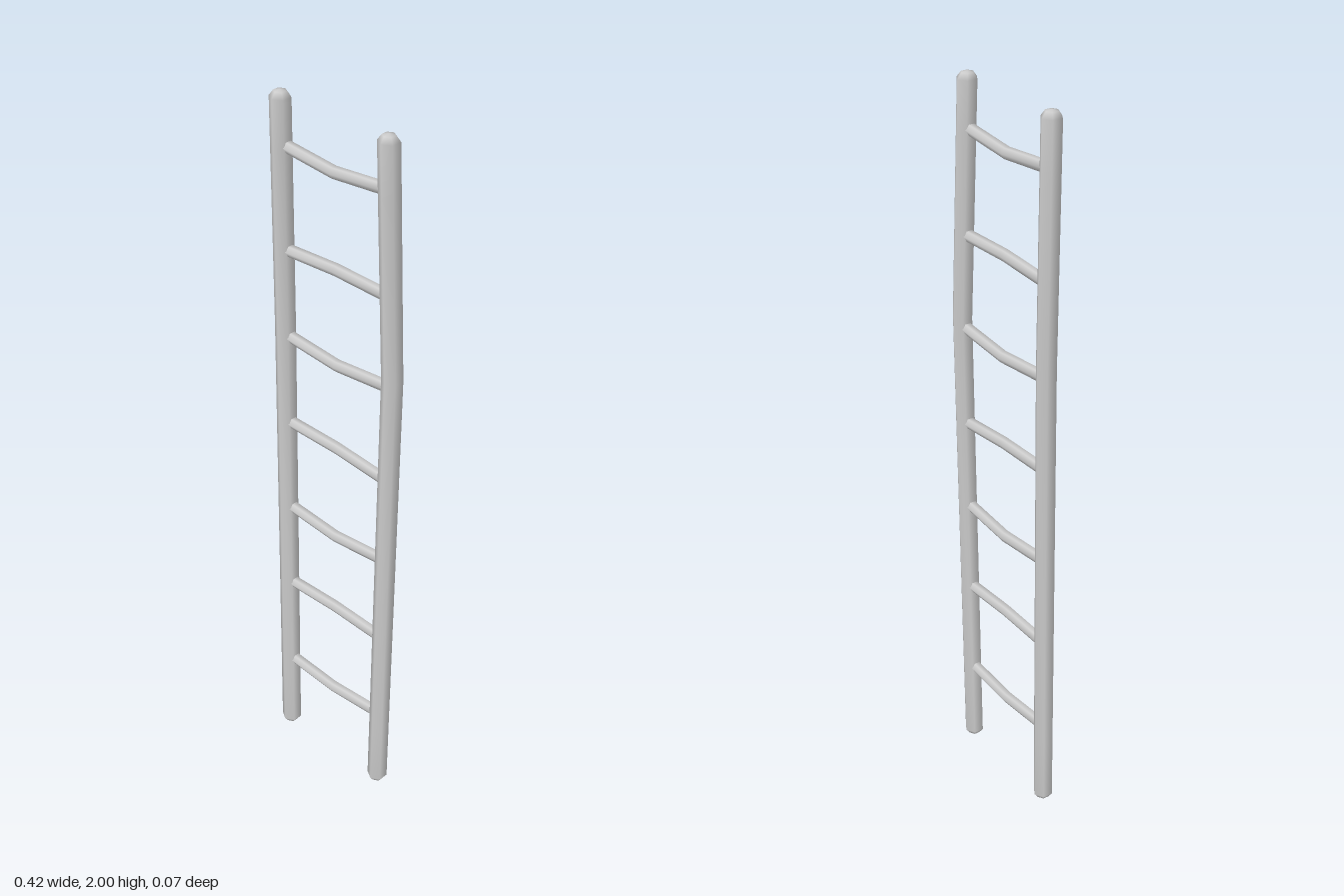
import * as THREE from 'three';
import { mergeVertices } from 'three/addons/utils/BufferGeometryUtils.js';

const material = new THREE.MeshStandardMaterial({ color: 0xcccccc });

// Six-sided pole along y from [radius, y] pairs, each vertex shifted by bend(y) -> [dx, dz]
function pole(profile, bend) {
  const geo = new THREE.LatheGeometry(profile.map(([r, y]) => new THREE.Vector2(r, y)), 6);
  const p = geo.attributes.position;
  for (let i = 0; i < p.count; i++) {
    const [dx, dz] = bend(p.getY(i));
    p.setX(i, p.getX(i) + dx);
    p.setZ(i, p.getZ(i) + dz);
  }
  geo.deleteAttribute('uv');
  geo.deleteAttribute('normal');
  const merged = mergeVertices(geo, 1e-4);
  merged.computeVertexNormals();
  return merged;
}

// Bow of the rails: 0 at both ends, 1 at the kink
const KINK = 1.35;
const bow = (y) => (y < KINK ? y / KINK : (2 - y) / (2 - KINK));
const railX = (y) => 0.175 + 0.012 * bow(y);
const railZ = (y) => 0.007 - 0.015 * bow(y);

export function createModel() {
  const ladder = new THREE.Group();
  ladder.name = 'ladder';

  // Side rails with rounded ends
  const R = 0.028;
  const railProfile = [
    [0, 0], [0.017, 0.003], [R, 0.018], [R, 0.2], [R, KINK],
    [R, 1.85], [R, 1.982], [0.017, 1.997], [0, 2],
  ];
  for (const side of [-1, 1]) {
    const rail = new THREE.Mesh(pole(railProfile, (y) => [side * railX(y), railZ(y)]), material);
    rail.name = side > 0 ? 'leftRail' : 'rightRail';
    ladder.add(rail);
  }

  // Rungs, slightly crooked: heights at x-, middle, x+
  const rungs = [
    [0.25, 0.238, 0.25], [0.53, 0.534, 0.526], [0.79, 0.775, 0.79], [1.064, 1.061, 1.046],
    [1.325, 1.31, 1.325], [1.576, 1.585, 1.581], [1.86, 1.845, 1.86],
  ];
  const r = 0.016;
  rungs.forEach(([a, mid, b], i) => {
    const half = railX(mid) - 0.012;
    const profile = [[0, -half], [r, -half], [r, 0], [r, half], [0, half]];
    // After the turn onto x, local -x becomes up and local y becomes +x
    const bend = (t) => [-((t < 0 ? a : b) - mid) * Math.abs(t) / half, 0];
    const geo = pole(profile, bend).rotateZ(-Math.PI / 2);
    // local +x points down after the turn
    const rung = new THREE.Mesh(geo, material);
    rung.position.set(0, mid, railZ(mid));
    rung.name = `rung${i + 1}`;
    ladder.add(rung);
  });

  return ladder;
}
